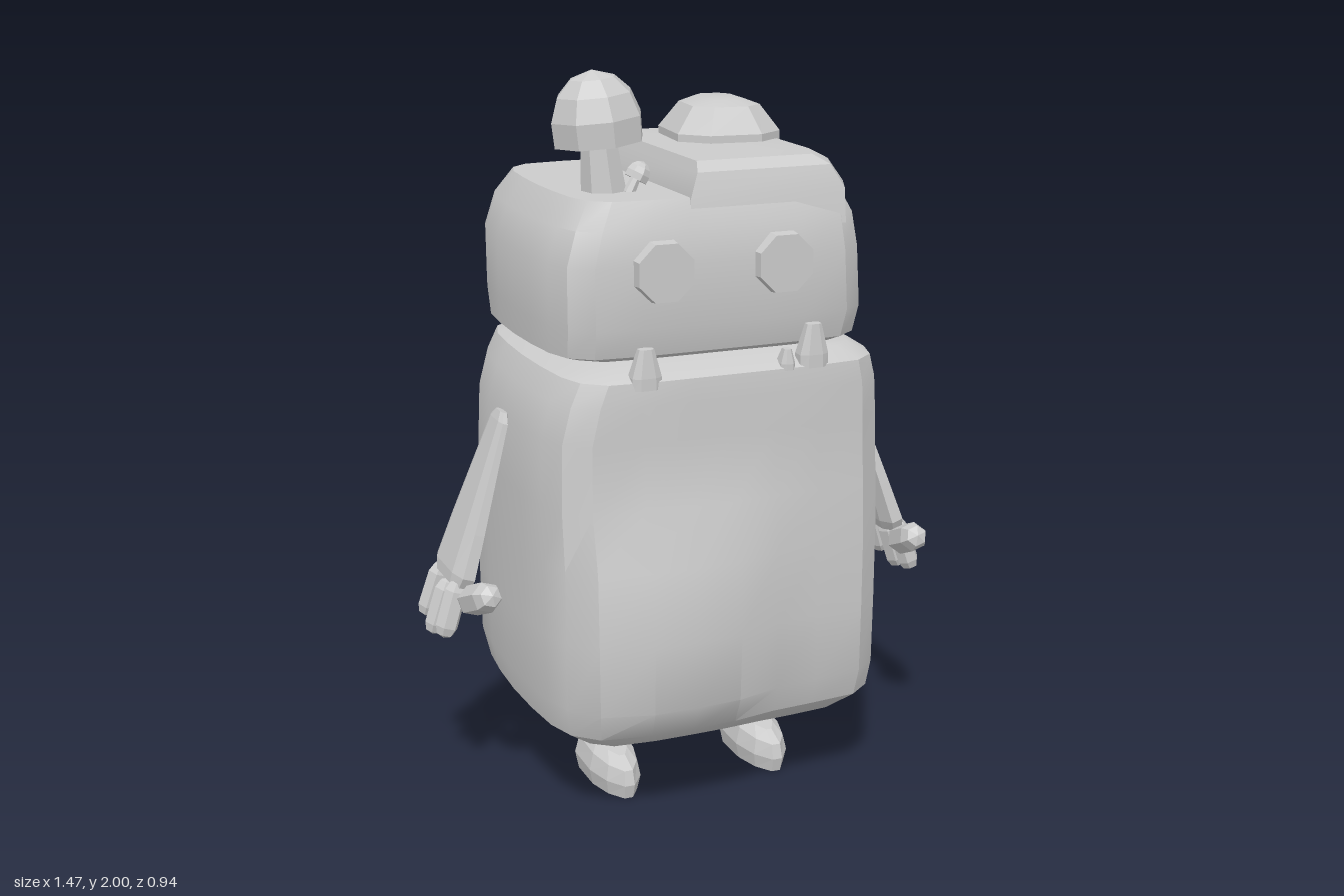
import * as THREE from 'three';
import { toCreasedNormals } from 'three/addons/utils/BufferGeometryUtils.js';

const soft = new THREE.MeshStandardMaterial({ color: 0xcccccc });
const faceted = new THREE.MeshStandardMaterial({ color: 0xcccccc, flatShading: true });

// Normalised outlines (x, z), running from +x towards +z
const quarter = [[1, 0], [0.99, 0.35], [0.965, 0.65], [0.91, 0.85], [0.78, 0.97], [0.5, 1], [0.25, 1]];
const half = [...quarter, [0, 1], ...quarter.slice(1).reverse().map(([x, z]) => [-x, z])];
const ROUNDED = [...half, ...half.map(([x, z]) => [-x, -z])];
const SLAB = [[1, -0.7], [1, 0.7], [0.8, 1], [-1, 1], [-1, -1], [0.8, -1]];
const CHAMFER = [[1, -0.6], [1, 0.6], [0.5, 1], [-0.5, 1], [-1, 0.6], [-1, -0.6], [-0.5, -1], [0.5, -1]];
const SHOE = [[1, -0.75], [1, 0.1], [0.7, 0.65], [0.2, 1], [-0.2, 1], [-0.7, 0.65], [-1, 0.1], [-1, -0.75], [-0.6, -1], [0.6, -1]];

// Stacks an outline through rings [y, xMin, xMax, zMin, zMax], closing both ends
function loft(outline, rings, bend = () => {}) {
  const n = outline.length, pos = [], idx = [];
  const add = (x, y, z) => {
    const v = new THREE.Vector3(x, y, z);
    bend(v);
    pos.push(v.x, v.y, v.z);
  };
  for (const [y, x0, x1, z0, z1] of rings)
    for (const [x, z] of outline) add((x0 + x1 + x * (x1 - x0)) / 2, y, (z0 + z1 + z * (z1 - z0)) / 2);
  const last = rings.length - 1;
  for (const r of [rings[0], rings[last]]) add((r[1] + r[2]) / 2, r[0], (r[3] + r[4]) / 2);
  const low = n * rings.length;
  for (let j = 0; j < n; j++) {
    const k = (j + 1) % n;
    for (let i = 0; i < last; i++) {
      const a = i * n + j, b = i * n + k, c = b + n, d = a + n;
      idx.push(a, d, b, b, d, c);
    }
    idx.push(low, j, k, low + 1, last * n + k, last * n + j);
  }
  const g = new THREE.BufferGeometry();
  g.setAttribute('position', new THREE.Float32BufferAttribute(pos, 3));
  g.setIndex(idx);
  return toCreasedNormals(g, 0.5);
}

const hump = (d, w) => Math.exp(-((d / w) ** 4));

export function createModel() {
  const model = new THREE.Group();
  const part = (name, geo, mat = faceted, at = [0, 0, 0], parent = model) => {
    const m = new THREE.Mesh(geo, mat);
    m.name = name;
    m.position.set(...at);
    parent.add(m);
    return m;
  };

  // Sack-like body with an off-centre belly
  part('body', loft(ROUNDED, [
    [0.195, -0.27, 0.3, -0.2, 0.2], [0.22, -0.4, 0.42, -0.33, 0.31], [0.28, -0.48, 0.485, -0.43, 0.38],
    [0.36, -0.495, 0.49, -0.47, 0.405], [0.55, -0.5, 0.49, -0.465, 0.41], [0.75, -0.5, 0.49, -0.455, 0.41],
    [0.9, -0.5, 0.49, -0.445, 0.4], [1.08, -0.495, 0.485, -0.43, 0.395], [1.18, -0.47, 0.475, -0.42, 0.4],
    [1.24, -0.44, 0.46, -0.415, 0.395], [1.27, -0.38, 0.41, -0.38, 0.34],
  ], v => {
    if (v.z > 0.2) v.z += 0.065 * hump(v.x + 0.16, 0.26) * hump(v.y - 0.55, 0.3);
  }), soft);

  // Head, swelling at the back on one side, with a raised half on top
  part('head', loft(ROUNDED, [
    [1.28, -0.41, 0.4, -0.37, 0.31], [1.295, -0.455, 0.43, -0.4, 0.34], [1.37, -0.46, 0.44, -0.405, 0.36],
    [1.53, -0.46, 0.43, -0.405, 0.36], [1.62, -0.43, 0.415, -0.4, 0.35], [1.69, -0.385, 0.38, -0.37, 0.32],
  ], v => {
    if (v.z < -0.2) v.z -= 0.05 * hump(v.x + 0.22, 0.24) * hump(v.y - 1.48, 0.19);
  }), soft);
  part('headStep', loft(SLAB, [
    [1.6, -0.1, 0.385, -0.36, 0.34], [1.69, -0.095, 0.385, -0.38, 0.328],
    [1.75, -0.07, 0.345, -0.36, 0.31], [1.775, -0.06, 0.3, -0.33, 0.28],
  ]), soft);
  const bump = part('headBump', loft(CHAMFER, [
    [1.76, -0.145, 0.145, -0.16, 0.155], [1.795, -0.145, 0.145, -0.16, 0.155],
    [1.865, -0.095, 0.095, -0.11, 0.11], [1.88, -0.05, 0.05, -0.09, 0.06],
  ]), soft, [0.18, 0, -0.13]);
  bump.rotation.y = -0.1;

  // Eyes
  for (const x of [-0.185, 0.147]) {
    const eye = part('eye', new THREE.CylinderGeometry(0.08, 0.086, 0.05, 8), faceted, [x, 1.515, 0.362]);
    eye.rotation.set(Math.PI / 2, Math.PI / 8, 0);
  }

  // Teeth pointing up over the lower lip
  for (const [x, y, w, h] of [[-0.24, 1.22, 0.04, 0.105], [0.228, 1.235, 0.04, 0.115], [0.153, 1.235, 0.02, 0.055]])
    part('tooth', loft(CHAMFER, [
      [0, -w, w, -0.035, 0.025], [h * 0.3, -w, w, -0.03, 0.025], [h, -w * 0.5, w * 0.5, -0.01, 0.018],
    ]), faceted, [x, y, 0.375]);

  // Mushrooms growing from the lower half of the head
  const mushroom = (name, x, y, z, size, tilt) => {
    const g = new THREE.Group();
    g.name = name;
    g.position.set(x, y, z);
    g.rotation.z = tilt;
    g.scale.setScalar(size);
    model.add(g);
    const cap = [[0, 0.14], [0.06, 0.14], [0.12, 0.125], [0.122, 0.19], [0.1, 0.25], [0.06, 0.29], [0, 0.31]];
    part('cap', new THREE.LatheGeometry(cap.map(p => new THREE.Vector2(...p)), 8), faceted, [0, 0, 0], g);
    part('stem', new THREE.CylinderGeometry(0.045, 0.062, 0.18, 7), faceted, [0, 0.07, 0], g);
  };
  mushroom('mushroom', -0.255, 1.69, 0.13, 1, 0.1);
  mushroom('smallMushroom', -0.2, 1.69, 0.17, 0.27, -0.5);

  for (const s of [-1, 1]) {
    // Flat flaring arm with a thumb and three fingers
    const arm = new THREE.Group();
    arm.name = s > 0 ? 'leftArm' : 'rightArm';
    arm.position.set(s * 0.505, 1.09, 0);
    arm.rotation.z = s * 0.315;
    model.add(arm);
    part('arm', loft(CHAMFER, [
      [-0.47, -0.03, 0.03, -0.1, 0.1], [-0.44, -0.034, 0.034, -0.125, 0.115], [-0.32, -0.028, 0.028, -0.11, 0.1],
      [-0.02, -0.014, 0.014, -0.055, 0.055], [0.005, -0.01, 0.01, -0.03, 0.03],
    ]), faceted, [0, 0, 0], arm);
    for (const [z, y] of [[0.08, -0.535], [0, -0.555], [-0.085, -0.535]]) {
      const finger = part('finger', new THREE.CapsuleGeometry(0.031, 0.1, 2, 6), faceted, [s * 0.012, y, z], arm);
      finger.rotation.x = -z * 0.8;
    }
    const thumb = part('thumb', new THREE.CapsuleGeometry(0.042, 0.1, 2, 6), faceted, [-s * 0.015, -0.465, 0.185], arm);
    thumb.rotation.x = 1.15;

    // Short leg and pointed shoe
    const x = s * 0.225;
    part('leg', new THREE.CylinderGeometry(0.055, 0.042, 0.12, 6), faceted, [x, 0.175, 0]);
    part('shoe', loft(SHOE, [
      [0, -0.062, 0.062, -0.07, 0.2], [0.05, -0.072, 0.072, -0.075, 0.21],
      [0.1, -0.06, 0.06, -0.07, 0.2], [0.125, -0.04, 0.04, -0.06, 0.15],
    ], v => { v.y *= 1 - 0.9 * Math.max(0, v.z); }), faceted, [x, 0, 0]);
  }
  return model;
}
